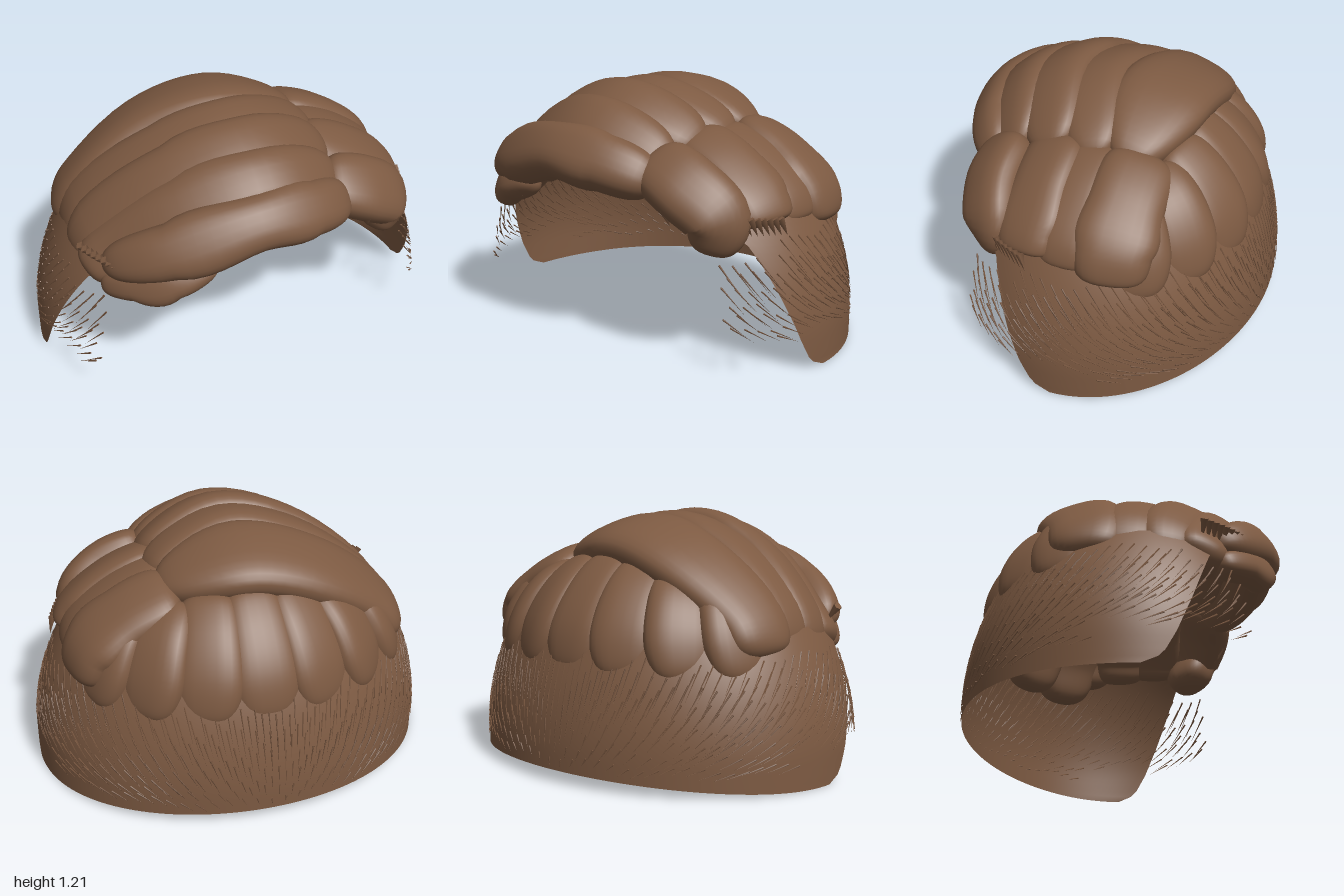
import * as THREE from 'three';
import { mergeGeometries } from 'three/addons/utils/BufferGeometryUtils.js';

const V = (x, y, z) => new THREE.Vector3(x, y, z);
const CENTRE = V(0, 0.4, 0);

// Indexed grid surface from a point rule; rings close when wrap is set
function gridGeometry(nu, nv, wrap, point) {
  const pos = [], idx = [], cols = wrap ? nv : nv + 1;
  for (let i = 0; i <= nu; i++)
    for (let j = 0; j < cols; j++) pos.push(...point(i / nu, j / nv).toArray());
  for (let i = 0; i < nu; i++)
    for (let j = 0; j < nv; j++) {
      const k = (j + 1) % cols;
      const a = i * cols + j, b = (i + 1) * cols + j, c = i * cols + k, d = (i + 1) * cols + k;
      idx.push(a, b, c, b, d, c);
    }
  const g = new THREE.BufferGeometry();
  g.setAttribute('position', new THREE.Float32BufferAttribute(pos, 3));
  g.setIndex(idx);
  g.computeVertexNormals();
  return g;
}

// Puffy lock swept along outer-surface points, flattened against the head
function lockGeometry(points, widths, thick = 0.1) {
  const path = new THREE.CatmullRomCurve3(points.map((p) => {
    const v = V(...p);
    return v.addScaledVector(v.clone().sub(CENTRE).normalize(), -thick);
  }));
  const width = new THREE.CatmullRomCurve3(widths.map((w) => V(w, 0, 0)));
  const sp = (v) => Math.sign(v) * Math.abs(v) ** 0.8;
  return gridGeometry(36, 28, true, (s, q) => {
    const u = (1 - Math.cos(Math.PI * s)) / 2;
    const c = path.getPoint(u), t = path.getTangent(u);
    const n = c.clone().sub(CENTRE);
    n.addScaledVector(t, -n.dot(t)).normalize();
    const b = t.clone().cross(n);
    const f = Math.sqrt(Math.max(0.0001, 1 - Math.abs(2 * u - 1) ** 9));
    const a = q * Math.PI * 2;
    return c.addScaledVector(b, sp(Math.cos(a)) * width.getPoint(u).x * f)
      .addScaledVector(n, sp(Math.sin(a)) * thick * f);
  });
}

// Oval head wall: angle 0 at the left side, -90 degrees at the back
function wall(theta, y, off = 0) {
  const s = 1 - 0.5 * Math.max(0, y - 0.12) ** 2;
  return V((0.985 * s + off) * Math.cos(theta), y, 0.05 + (0.81 * s + off) * Math.sin(theta));
}

// Front limit of the shaved band, as a z position for each height
const EDGE = [[0, 0.03], [0.02, 0.09], [0.06, 0.13], [0.15, 0.18], [0.32, 0.25], [0.6, 0.35], [0.7, 0.44], [0.8, 0.5]];
function edgeAngle(y) {
  let i = 0;
  while (i < EDGE.length - 2 && y > EDGE[i + 1][0]) i++;
  const [y0, z0] = EDGE[i], [y1, z1] = EDGE[i + 1];
  const z = z0 + (z1 - z0) * (y - y0) / (y1 - y0);
  return Math.asin((z - 0.05) / (0.81 * (1 - 0.5 * Math.max(0, y - 0.12) ** 2)));
}

function spike(from, to, radius) {
  const d = to.clone().sub(from);
  const g = new THREE.ConeGeometry(radius, d.length(), 4, 1);
  g.applyQuaternion(new THREE.Quaternion().setFromUnitVectors(V(0, 1, 0), d.clone().normalize()));
  const m = from.clone().add(to).multiplyScalar(0.5);
  return g.translate(m.x, m.y, m.z);
}

export function createModel() {
  const group = new THREE.Group();
  const brown = new THREE.MeshStandardMaterial({ color: 0x7d5a42, side: THREE.DoubleSide });
  brown.name = 'hair brown';
  const add = (name, geometry) => {
    const mesh = new THREE.Mesh(geometry, brown);
    mesh.name = name;
    group.add(mesh);
  };

  // Shaved band around the sides and back, its top tucked into the locks
  add('shavedBand', gridGeometry(80, 24, false, (s, v) => {
    const u = 2 * s - 1;
    const y = 0.06 * Math.cos(u * Math.PI / 2) ** 2 * (1 - v) + (0.65 + 0.1 * u * u) * v;
    return wall(-Math.PI / 2 - u * (edgeAngle(y) + Math.PI / 2), y);
  }));

  // Broad locks swept across the crown and down the right side
  const crown = [
    [1.18, [[-0.77, -0.21], [-0.4, -0.25], [0, -0.2], [0.46, -0.15]], [0.17, 0.18, 0.21, 0.23, 0.15]],
    [1.2, [[-0.77, 0], [-0.4, 0.12], [0, 0.16], [0.47, 0.02]], [0.14, 0.15, 0.16, 0.16, 0.16]],
    [1.18, [[-0.77, 0.2], [-0.4, 0.34], [0, 0.38], [0.47, 0.26]], [0.13, 0.15, 0.17, 0.17, 0.17]],
    [1.1, [[-0.76, 0.36], [-0.4, 0.51], [0, 0.57], [0.45, 0.47]], [0.12, 0.14, 0.16, 0.16, 0.16]],
  ];
  crown.forEach(([h, pts, w], i) => add('crownLock' + (i + 1), lockGeometry(
    [[-0.86, 0.6, pts[0][1] - 0.02], ...pts.map(([x, z]) => [x, h - 0.66 * x * x, z])], w)));
  add('frontLock', lockGeometry(
    [[-0.82, 0.72, 0.44], [-0.52, 0.87, 0.65], [-0.1, 0.99, 0.73], [0.2, 0.97, 0.69], [0.45, 0.89, 0.57]],
    [0.1, 0.13, 0.13, 0.13, 0.12], 0.11));
  add('cornerLock', lockGeometry(
    [[-0.3, 0.77, 0.7], [-0.5, 0.7, 0.68], [-0.67, 0.65, 0.57], [-0.79, 0.6, 0.42]],
    [0.05, 0.07, 0.07, 0.06], 0.07));

  // Shorter locks falling down the left side
  const side = [[-0.22, 0.18, 0.6], [0.02, 0.15, 0.64], [0.23, 0.16, 0.67]];
  side.forEach(([z, w, low], i) => add('leftSideLock' + (i + 1), lockGeometry(
    [[0.35, 1.05, z], [0.62, 0.93, z], [0.81, 0.77, z], [0.86, low, z]], [w, w, w, w * 0.9])));
  add('leftSideLock4', lockGeometry(
    [[0.35, 0.98, 0.51], [0.6, 0.88, 0.52], [0.76, 0.74, 0.47], [0.7, 0.58, 0.47]], [0.15, 0.16, 0.15, 0.11]));

  // Locks down the back, side by side
  for (let i = 0; i < 7; i++) {
    const a = -(30 + i * 20) * Math.PI / 180;
    const ring = (rx, rz, y) => [rx * Math.cos(a), y, 0.05 + rz * Math.sin(a)];
    add('backLock' + (i + 1), lockGeometry(
      [ring(0.6, 0.38, 1.07 - 0.22 * Math.cos(a) ** 2), ring(0.75, 0.58, 0.9 - 0.05 * Math.cos(a) ** 2),
        ring(0.85, 0.7, 0.72), ring(0.92, 0.755, 0.48)],
      [0.14, 0.16, 0.17, 0.13], 0.09));
  }

  // Stubble leaning backwards over the band and past its front edge
  const stubble = [];
  for (let r = 0; r < 9; r++)
    for (let k = 0; k < 60; k++) {
      const y = 0.13 + r * 0.058 + 0.015 * Math.sin(k * 7.3 + r * 2.1);
      const th = -Math.PI / 2 + ((k + 0.5 * (r % 2) - 29.75) / 30) * 2.2;
      const p = wall(th, y);
      if (p.z > -0.15 && y < 0.2 || p.z > 0.25 && y > 0.55) continue;
      const lean = 0.14 * Math.cos(th);
      const drop = Math.max(0.02, 0.3 * y - 0.02) + 0.02 * Math.abs(Math.sin(th));
      stubble.push(spike(wall(th, y, 0.001), wall(th - lean, y - drop, 0.006), 0.0045));
    }
  add('stubble', mergeGeometries(stubble));

  // Ragged tufts under the front corners
  const fringe = [];
  for (let i = 0; i < 20; i++) {
    const t = i / 19;
    const a = V(-0.82, 0.77, 0.33).lerp(V(-0.4, 0.74, 0.68), t);
    const b = V(0.85, 0.7, 0.2).lerp(V(0.5, 0.75, 0.58), t);
    const bow = 0.05 * Math.sin(Math.PI * t);
    a.add(V(-bow, 0, bow));
    b.add(V(bow, 0, bow));
    fringe.push(spike(a, a.clone().add(V(0.06, -0.08, -0.01)), 0.02));
    fringe.push(spike(b, b.clone().add(V(0.02, -0.08, -0.03)), 0.02));
  }
  add('frontFringe', mergeGeometries(fringe));
  return group;
}
